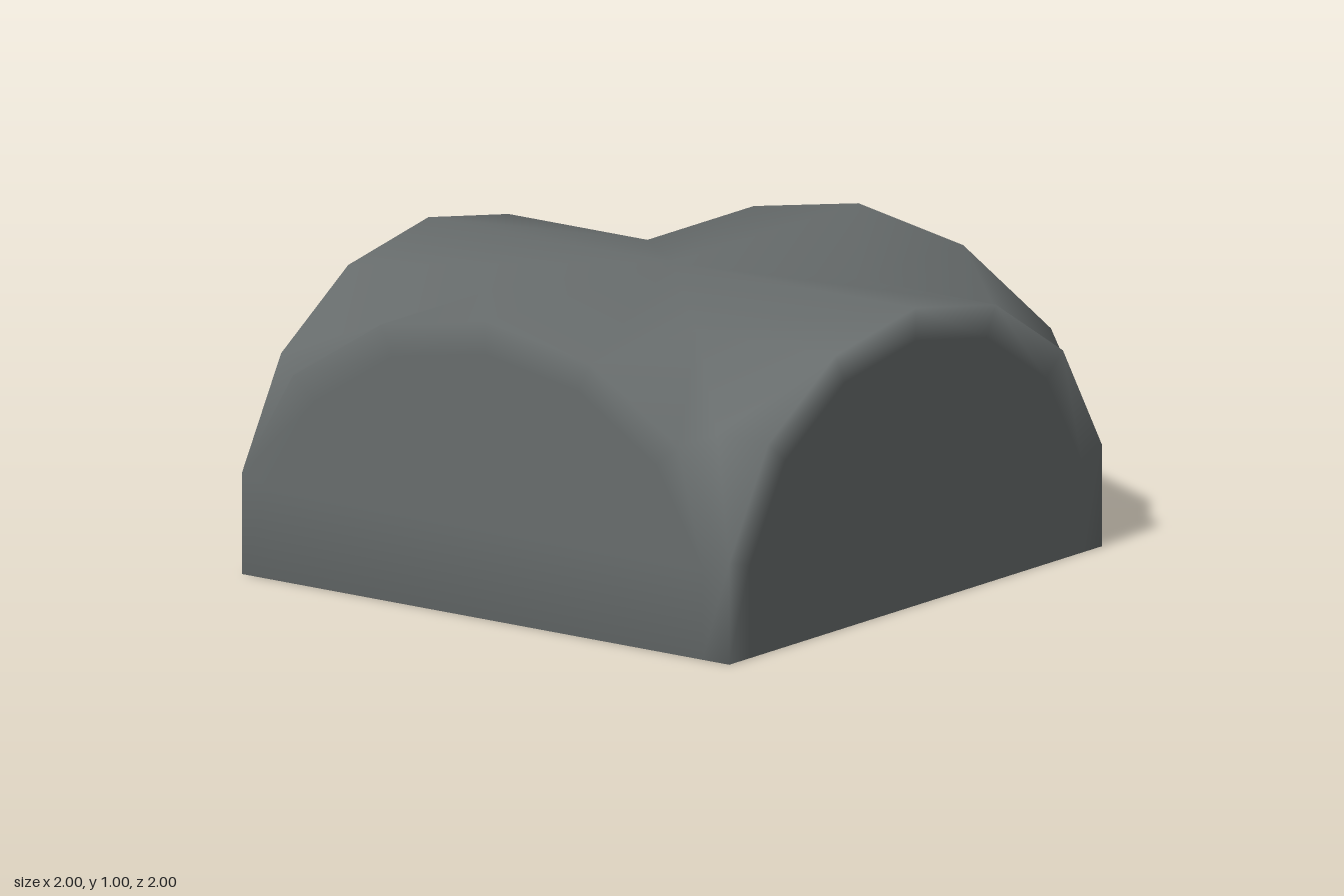
import * as THREE from 'three';
import { mergeVertices } from 'three/addons/utils/BufferGeometryUtils.js';

// half arches, from the springing line to the crown: [distance from middle, height]
const outerHalf = [[1, 0], [1, 0.34], [0.79, 0.7], [0.43, 0.925], [0, 1]];
const innerHalf = [[0.89, 0], [0.89, 0.31], [0.7, 0.625], [0.38, 0.825], [0, 0.89]];
const WALL = 0.93; // inner face of the walls

const fullArch = (half) => [
  ...half.map(([x, y]) => [-x, y]),
  ...half.slice(0, -1).reverse(),
];
const O = fullArch(outerHalf);
const I = fullArch(innerHalf);

// Collects polygons for the +z side and turns them to the other sides
class Shell {
  constructor() { this.pos = []; }
  face(turn, ...pts) {
    for (let i = 1; i + 1 < pts.length; i++) {
      const tri = [pts[0], pts[i], pts[i + 1]];
      const [a, b, c] = tri.map((p) => new THREE.Vector3(...p));
      if (b.sub(a).cross(c.sub(a)).length() < 1e-8) continue;
      for (let [x, y, z] of tri) {
        for (let k = 0; k < turn; k++) [x, z] = [z, -x];
        this.pos.push(x, y, z);
      }
    }
  }
  mesh(name, material) {
    let g = new THREE.BufferGeometry();
    g.setAttribute('position', new THREE.Float32BufferAttribute(this.pos, 3));
    g = mergeVertices(g, 1e-4);
    g.computeVertexNormals();
    const m = new THREE.Mesh(g, material);
    m.name = name;
    return m;
  }
}

export function createModel() {
  const group = new THREE.Group();
  group.name = 'crossVault';
  const stone = new THREE.MeshStandardMaterial({ color: 0x686d6d });
  stone.name = 'dark grey';

  const outer = new Shell();
  const ceiling = new Shell();
  const walls = new Shell();
  const foot = new Shell();
  const ribs = new Shell();

  for (let t = 0; t < 4; t++) {
    for (let i = 0; i < 8; i++) {
      const [x0, y0] = O[i], [x1, y1] = O[i + 1];
      const [u0, v0] = I[i], [u1, v1] = I[i + 1];
      // barrel roof between the groin and the wall
      outer.face(t, [x0, y0, Math.abs(x0)], [x0, y0, 1], [x1, y1, 1], [x1, y1, Math.abs(x1)]);
      // rim around the wall panel
      outer.face(t, [x0, y0, 1], [u0, v0, 1], [u1, v1, 1], [x1, y1, 1]);
      // barrel ceiling, facing down
      ceiling.face(t, [u0, v0, Math.abs(u0)], [u1, v1, Math.abs(u1)], [u1, v1, WALL], [u0, v0, WALL]);
    }
    // flat wall panel, upper and lower part
    outer.face(t, ...I.slice(1, 8).reverse().map(([x, y]) => [x, y, 1]));
    outer.face(t, [I[0][0], 0, 1], [I[8][0], 0, 1], [I[7][0], I[7][1], 1], [I[1][0], I[1][1], 1]);
    // inner wall face
    walls.face(t, ...I.map(([x, y]) => [x, y, WALL]));

    // underside of the wall; it blends into the front and back faces only
    const rimOut = [-1, -0.89, 0.89, 1], rimIn = [-WALL, -0.89, 0.89, WALL];
    for (let i = 0; i < 3; i++) {
      (t % 2 ? foot : outer).face(t, [rimOut[i], 0, 1], [rimIn[i], 0, WALL],
        [rimIn[i + 1], 0, WALL], [rimOut[i + 1], 0, 1]);
    }
    // underside of the corner post
    foot.face(t, [0.89, 0, 0.89], [WALL, 0, 0.89], [WALL, 0, WALL], [0.89, 0, WALL]);

    // narrow rib under the groin, from the post to the crown
    const w = 0.035;
    for (let i = 1; i < 4; i++) {
      const [a, ya] = innerHalf[i], [b, yb] = innerHalf[i + 1];
      const ends = [[a, ya], [Math.max(b, w), yb]];
      const [L0, L1] = ends.map(([d, y]) => [d - w, y, d]);
      const [R0, R1] = ends.map(([d, y]) => [d, y, d - w]);
      ribs.face(t, L0, L1, R1, R0);
    }
  }

  group.add(
    outer.mesh('outerVaultAndWalls', stone),
    ceiling.mesh('vaultCeiling', stone),
    walls.mesh('innerWalls', stone),
    foot.mesh('wallFooting', stone),
    ribs.mesh('groinRibs', stone),
  );
  return group;
}
